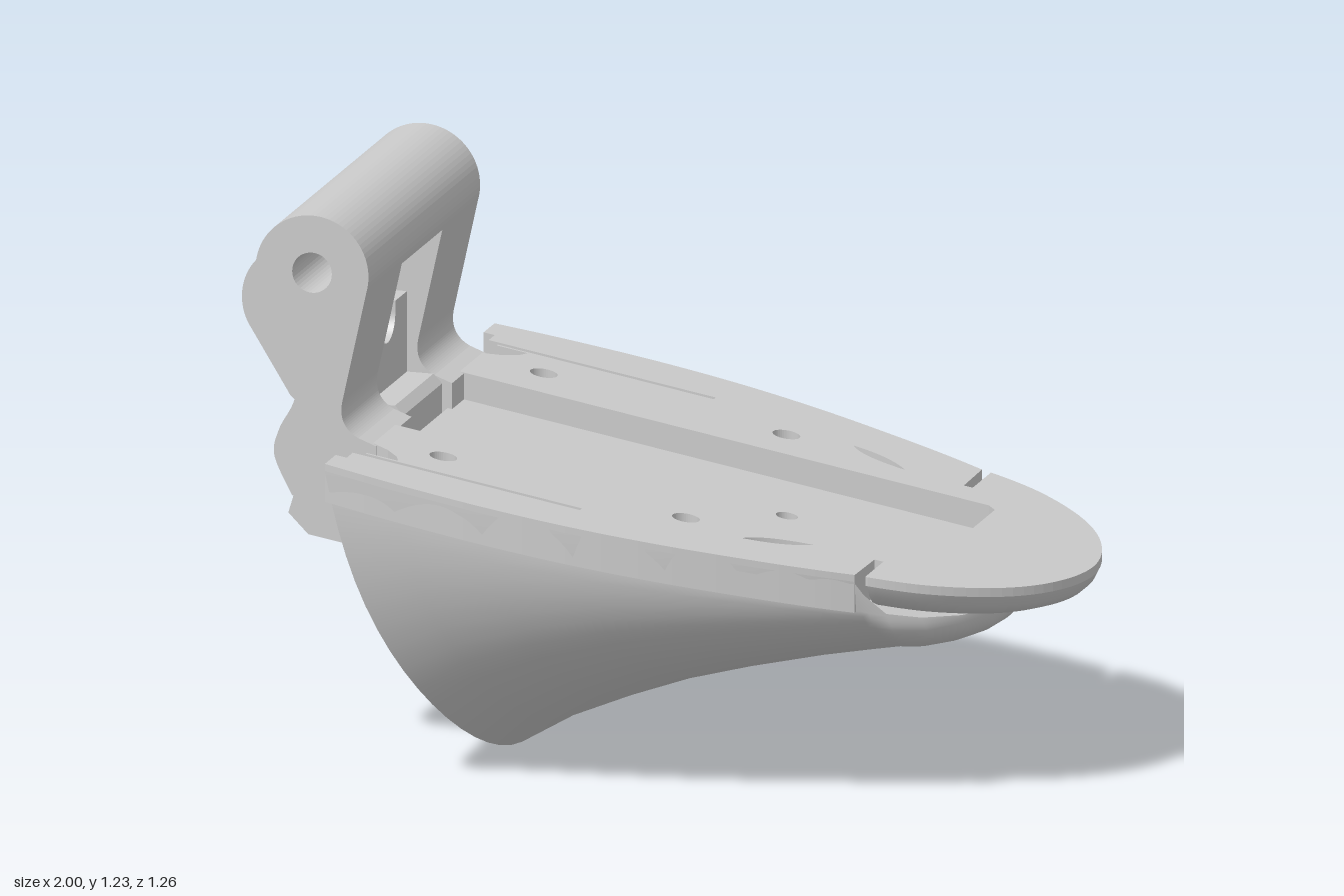
import * as THREE from 'three';

const mat = new THREE.MeshStandardMaterial({ color: 0xcccccc });
const thin = new THREE.MeshStandardMaterial({ color: 0xcccccc, side: THREE.DoubleSide });
const deckY = (x) => 0.648 - 0.168 * x; // sloping deck plane
const V = (x, y) => new THREE.Vector2(x, y);
const poly = (pts) => new THREE.Shape(pts.map(([x, y]) => V(x, y)));
const circle = (x, y, r) => new THREE.Path().absarc(x, y, r, 0, Math.PI * 2);

function add(group, name, geometry, material = mat) {
  const mesh = new THREE.Mesh(geometry, material);
  mesh.name = name;
  group.add(mesh);
  return mesh;
}

// Plan shape (x, z) extruded downwards, then sheared onto the deck slope
function slab(shape, top, depth) {
  const g = new THREE.ExtrudeGeometry(shape, { depth, bevelEnabled: false, curveSegments: 20 });
  g.rotateX(Math.PI / 2);
  const p = g.attributes.position;
  for (let i = 0; i < p.count; i++) p.setY(i, p.getY(i) - top + deckY(p.getX(i)));
  g.computeVertexNormals();
  return g;
}

// Side shape (x, y) extruded between two z values
function sideways(shape, z0, z1) {
  const g = new THREE.ExtrudeGeometry(shape, { depth: z1 - z0, bevelEnabled: false, curveSegments: 20 });
  return g.translate(0, 0, z0);
}

// Smooth surface through rows of [x, y, z] points
function skin(rows) {
  const n = rows[0].length, index = [];
  for (let i = 0; i + 1 < rows.length; i++)
    for (let j = 0; j + 1 < n; j++) {
      const a = i * n + j, b = a + n;
      index.push(a, a + 1, b, b, a + 1, b + 1);
    }
  const g = new THREE.BufferGeometry();
  g.setAttribute('position', new THREE.Float32BufferAttribute(rows.flat(2), 3));
  g.setIndex(index);
  g.computeVertexNormals();
  return g;
}

// Hull stations: rim x, half width, rim y, keel x, keel y
const stations = [
  [-0.55, 0.61, 0.725, -0.27, 0], [-0.4, 0.625, 0.7, -0.15, 0.072],
  [-0.2, 0.632, 0.667, 0, 0.138], [0, 0.62, 0.633, 0.15, 0.195],
  [0.2, 0.585, 0.6, 0.3, 0.238], [0.4, 0.53, 0.566, 0.47, 0.278],
  [0.52, 0.49, 0.546, 0.57, 0.297], [0.6, 0.458, 0.532, 0.64, 0.309],
  [0.62, 0.445, 0.5, 0.66, 0.313], [0.66, 0.41, 0.452, 0.7, 0.32],
  [0.72, 0.345, 0.432, 0.75, 0.33], [0.78, 0.25, 0.418, 0.79, 0.343],
  [0.815, 0.14, 0.408, 0.81, 0.355], [0.83, 0, 0.4, 0.822, 0.372],
];

function hull(group) {
  const N = 18, POW = 2.25, floors = [];
  const rows = stations.map(([rx, w, ry, kx, ky], i) => {
    const s0 = Math.max(0.005, ry - deckY(rx) + 0.085) / (ry - ky);
    const bulge = 0.04 * Math.max(0, 1 - i / 4);
    const half = [];
    for (let j = 0; j <= N; j++) {
      const s = j === 0 ? 0 : s0 + (1 - s0) * Math.sin(((j - 1) / (N - 1)) * Math.PI / 2);
      const c = Math.pow(Math.max(0, 1 - Math.pow(s, POW)), 1 / POW);
      half.push([rx + (kx - rx) * s - bulge * Math.sin(Math.PI * s), ry + (ky - ry) * s, w * c]);
    }
    const mirrored = half.map(([x, y, z]) => [x, y, -z]);
    floors.push([half[1], mirrored[1]]);
    return [...half, ...mirrored.reverse().slice(1)];
  });
  add(group, 'hullSkin', skin(rows), thin);
  add(group, 'hullInnerFloor', skin(floors), thin);
  const back = [];
  for (let j = 1; j <= N; j++) back.push([rows[0][j], rows[0][2 * N - j]]);
  add(group, 'hullBackWall', skin(back), thin);
}

// One half of the main deck; k = +1 or -1 picks the side
function deckHalf(k) {
  const s = new THREE.Shape();
  s.moveTo(-0.55, 0.608 * k);
  s.splineThru(stations.slice(1, 8).map(([x, w]) => V(x + 0.003, (w - 0.002) * k)));
  const edge = [
    [0.605, 0.32], [0.625, 0.32], [0.625, 0.23], [-0.51, 0.23], [-0.51, 0.39], [-0.47, 0.41],
    [-0.44, 0.44], [-0.43, 0.465], [-0.5, 0.465], [-0.5, 0.472], [-0.01, 0.472], [-0.01, 0.487],
    [-0.525, 0.487], [-0.525, 0.53], [-0.55, 0.53],
  ];
  edge.forEach(([x, z]) => s.lineTo(x, z * k));
  for (const x of [-0.36, 0.19]) s.holes.push(circle(x, 0.36 * k, 0.03));
  const leaf = new THREE.Path();
  leaf.moveTo(0.33, 0.4 * k);
  leaf.quadraticCurveTo(0.36, 0.345 * k, 0.47, 0.325 * k);
  leaf.quadraticCurveTo(0.42, 0.385 * k, 0.33, 0.4 * k);
  s.holes.push(leaf);
  return slab(s, 0, 0.085);
}

function nose(group) {
  const half = [[0.63, 0.45], [0.68, 0.435], [0.74, 0.41], [0.8, 0.372], [0.86, 0.322],
    [0.91, 0.265], [0.95, 0.2], [0.98, 0.125], [0.995, 0.06]];
  const outline = new THREE.SplineCurve([...half, [1, 0], ...half.map(([x, z]) => [x, -z]).reverse()]
    .map(([x, z]) => V(x, z))).getPoints(48);
  // Top plate with the rounded end of the recess cut out
  const recess = [[0.625, -0.23], [0.69, -0.23], [0.71, -0.21], [0.71, 0.21], [0.69, 0.23], [0.625, 0.23]];
  const top = new THREE.Shape([...outline, V(0.625, -0.45), ...recess.map(([x, z]) => V(x, z)), V(0.625, 0.45)]);
  add(group, 'noseDeck', slab(top, 0, 0.02));
  add(group, 'recessEndWall', slab(poly([...recess, [0.625, 0.26], [0.74, 0.26], [0.74, -0.26], [0.625, -0.26]]), 0.015, 0.07));
  // Rounded underside
  const rings = [[1, 0.02], [0.97, 0.045], [0.92, 0.065], [0.84, 0.08], [0.74, 0.088], [0.02, 0.09]];
  add(group, 'noseUnderside', skin(rings.map(([f, d]) => outline.map((p) => {
    const x = 0.62 + (p.x - 0.62) * f;
    return [x, deckY(x) - d, p.y * f];
  }))), thin);
}

function hinge(group) {
  const PX = -0.645, PY = 1.107, R = 0.128;
  // Full cheek profile, or only the part above the window
  const profile = (full) => {
    const s = new THREE.Shape();
    if (full) {
      s.moveTo(-0.5, 0.58);
      s.lineTo(-0.5, 0.73);
      s.lineTo(-0.54, 0.745);
      s.quadraticCurveTo(-0.59, 0.77, -0.575, 0.83);
    } else s.moveTo(-0.555, 0.93);
    s.absarc(PX, PY, R, -0.28, Math.PI, false);
    if (full) {
      s.splineThru([[-0.765, 1.04], [-0.715, 0.97], [-0.682, 0.9], [-0.685, 0.82],
        [-0.72, 0.75], [-0.73, 0.69], [-0.69, 0.605]].map(([x, y]) => V(x, y)));
    } else s.splineThru([V(-0.765, 1.04), V(-0.715, 0.97), V(-0.692, 0.93)]);
    s.holes.push(circle(PX, PY, 0.045));
    return s;
  };
  for (const k of [1, -1]) add(group, 'hingeCheek', sideways(profile(true), k > 0 ? 0.145 : -0.4, k > 0 ? 0.4 : -0.145));
  add(group, 'hingeBarrelMiddle', sideways(profile(false), -0.145, 0.145));

  // Block in the window, with a half-round groove on top
  const block = new THREE.Shape();
  block.moveTo(-0.138, 0.6);
  block.lineTo(0.138, 0.6);
  block.lineTo(0.138, 0.93);
  block.lineTo(0.055, 0.93);
  block.lineTo(0.055, 0.905);
  block.absarc(0, 0.905, 0.055, 0, Math.PI, true);
  block.lineTo(-0.055, 0.93);
  block.lineTo(-0.138, 0.93);
  const g = new THREE.ExtrudeGeometry(block, { depth: 0.08, bevelEnabled: false, curveSegments: 20 });
  add(group, 'windowBlock', g.rotateY(Math.PI / 2).translate(-0.68, 0, 0));
  add(group, 'windowStep', sideways(poly([[-0.66, 0.6], [-0.52, 0.6], [-0.52, 0.73], [-0.54, 0.75], [-0.66, 0.75]]), -0.138, 0.138));
  add(group, 'hingeFoot', sideways(poly([[-0.48, 0.485], [-0.48, 0.58], [-0.69, 0.61], [-0.705, 0.56], [-0.66, 0.515]]), -0.38, 0.38));

  // Offset lever plate with its own pin hole
  const lever = new THREE.Shape();
  lever.moveTo(-0.66, 0.605);
  lever.lineTo(-0.66, 1.15);
  lever.lineTo(-0.76, 1.16);
  lever.absarc(-0.875, 0.865, 0.125, 2.35, 3.65, false);
  lever.lineTo(-0.895, 0.66);
  lever.quadraticCurveTo(-0.885, 0.64, -0.86, 0.636);
  lever.holes.push(circle(-0.875, 0.865, 0.063));
  add(group, 'leverPlate', sideways(lever, -0.3, -0.22));
}

export function createModel() {
  const model = new THREE.Group();
  model.name = 'hingedScoop';
  hull(model);
  for (const k of [1, -1]) add(model, k > 0 ? 'deckFront' : 'deckRear', deckHalf(k));
  const floor = poly([[-0.51, -0.235], [0.72, -0.235], [0.72, 0.235], [-0.51, 0.235]]);
  floor.holes.push(circle(0.305, 0, 0.024));
  add(model, 'recessFloor', slab(floor, 0.06, 0.025));
  nose(model);
  hinge(model);
  return model;
}
